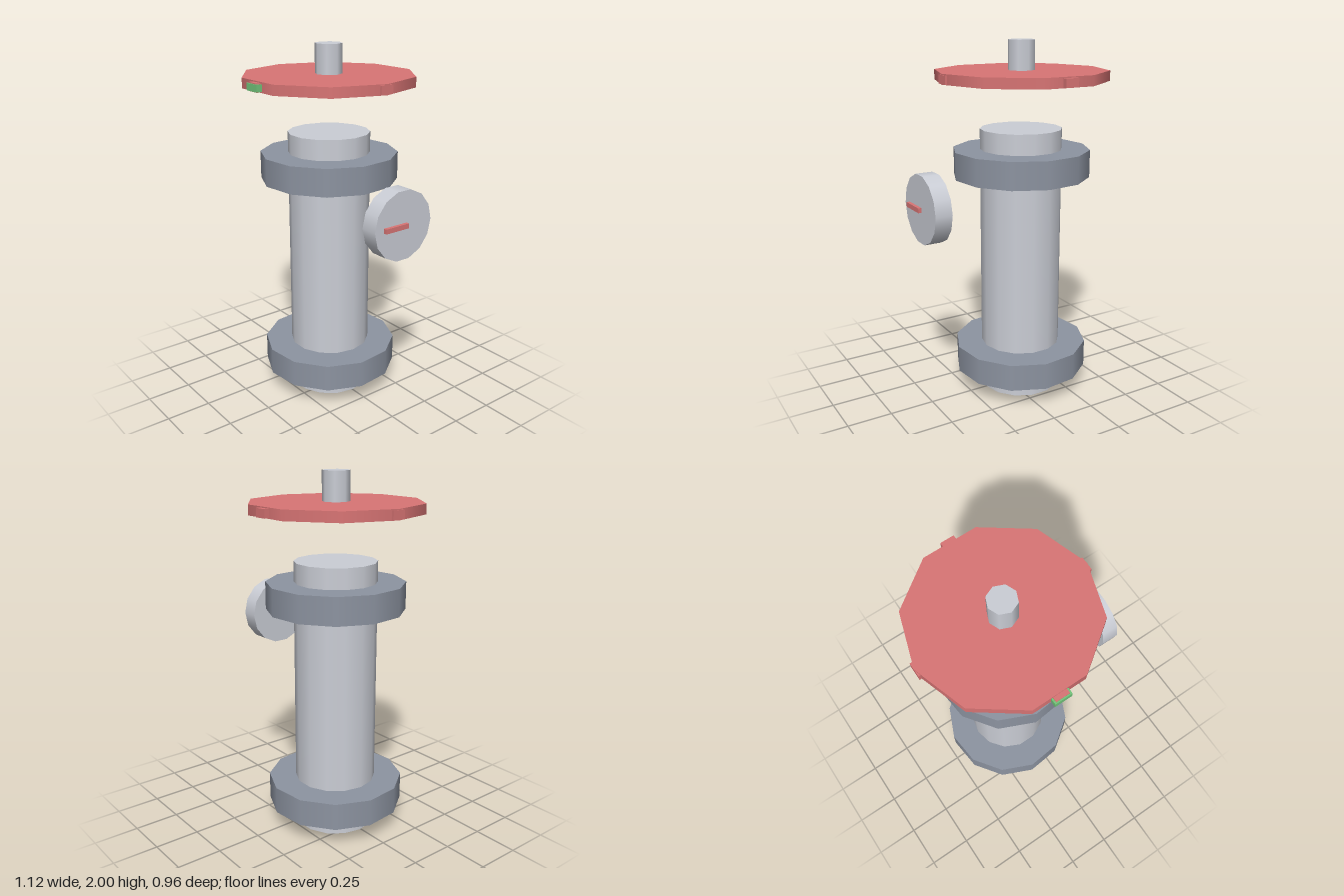
import * as THREE from 'three';

const CX = -0.083, CZ = -0.005; // vertical axis of the valve

export function createModel() {
  const group = new THREE.Group();
  const mat = (name, color) => {
    const m = new THREE.MeshStandardMaterial({ color });
    m.name = name;
    return m;
  };
  const steel = mat('lightSteel', 0xcbced6);
  const iron = mat('darkIron', 0x8d94a1);
  const red = mat('wheelRed', 0xd97575);
  const green = mat('markerGreen', 0x74c67c);

  const add = (name, geometry, material, x, y, z) => {
    const mesh = new THREE.Mesh(geometry, material);
    mesh.name = name;
    mesh.position.set(x, y, z);
    group.add(mesh);
    return mesh;
  };

  // Upright cylinder on the main axis, from y0 to y1
  const column = (name, radius, y0, y1, sides, material, turn = Math.PI / 2) => {
    const g = new THREE.CylinderGeometry(radius, radius, y1 - y0, sides).rotateY(turn);
    return add(name, g, material, CX, (y0 + y1) / 2, CZ);
  };

  // Pipe body and its two flanges
  column('pipeBody', 0.228, 0, 1.525, 14, steel);
  column('lowerFlange', 0.382, 0.116, 0.268, 12, iron, -0.157);
  column('upperFlange', 0.382, 1.26, 1.412, 12, iron, -0.157);

  // Handwheel and stem
  column('handwheel', 0.476, 1.785, 1.84, 10, red);
  column('stem', 0.075, 1.8, 2, 8, steel);

  // Crossed spokes whose ends stand out of the rim
  add('spokeAlongX', new THREE.BoxGeometry(0.952, 0.046, 0.075), red, CX, 1.811, CZ);
  add('spokeAlongZ', new THREE.BoxGeometry(0.075, 0.046, 0.956), red, CX, 1.811, CZ);

  // Position marker on the front of the wheel
  add('positionMarker', new THREE.BoxGeometry(0.093, 0.038, 0.036), green, CX, 1.81, 0.462);

  // Gauge facing the left side, with its needle
  const dial = new THREE.CylinderGeometry(0.19, 0.19, 0.096, 14).rotateZ(-Math.PI / 2);
  add('gaugeDial', dial, steel, 0.489, 1.145, CZ);
  add('gaugeNeedle', new THREE.BoxGeometry(0.026, 0.026, 0.152), red, 0.543, 1.146, 0.051);

  return group;
}
